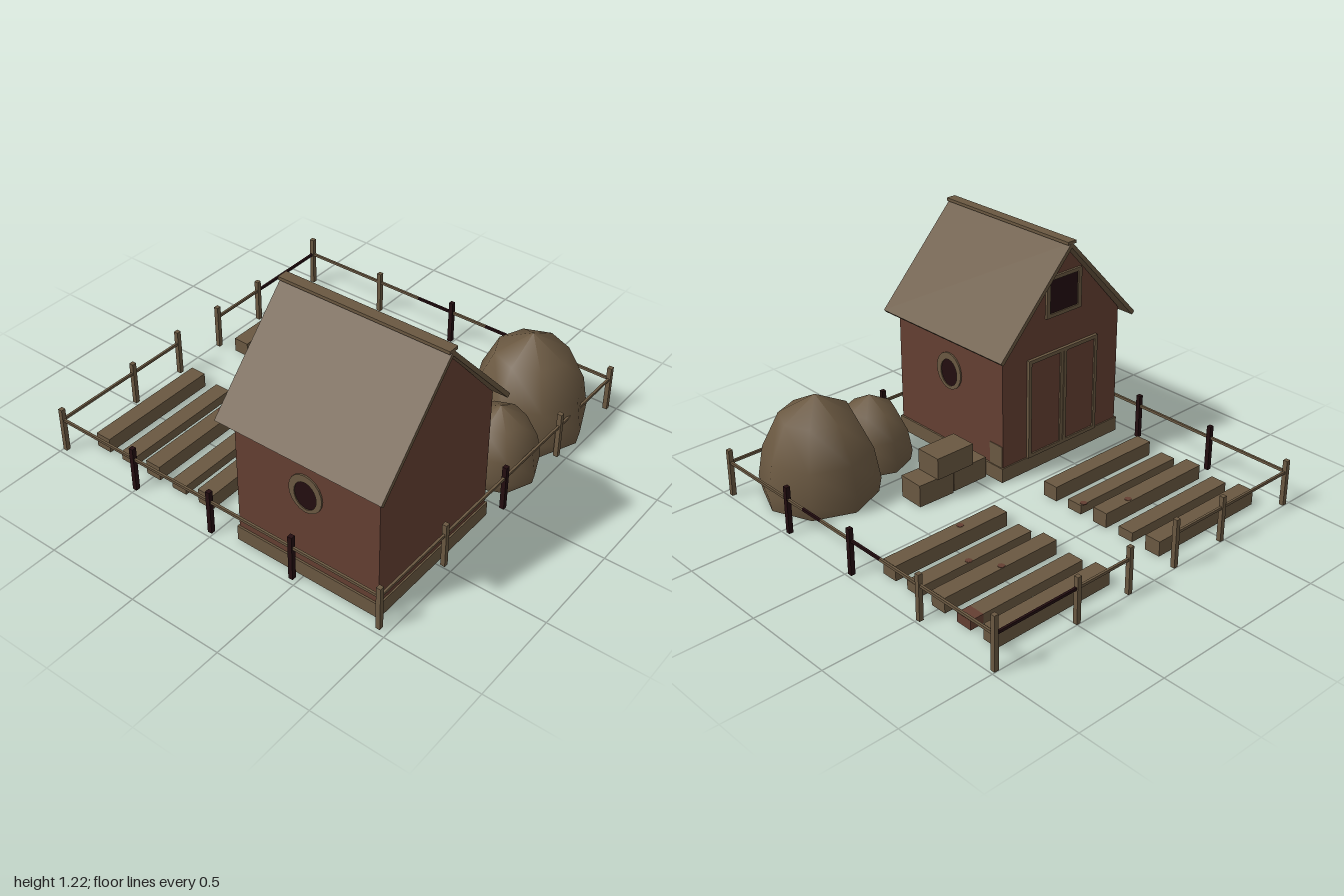
import * as THREE from 'three';

export function createModel() {
  const root = new THREE.Group();
  root.name = 'farmyard';
  const mat = (name, color) => {
    const m = new THREE.MeshStandardMaterial({ color });
    m.name = name;
    return m;
  };
  const wood = mat('weathered wood', 0x6a5841);
  const red = mat('barn red', 0x643f32);
  const dark = mat('dark shadow brown', 0x230d10);

  const add = (parent, name, geometry, material, x = 0, y = 0, z = 0) => {
    const m = new THREE.Mesh(geometry, material);
    m.name = name;
    m.position.set(x, y, z);
    parent.add(m);
    return m;
  };
  // box given by its min and max corners
  const span = (parent, name, material, [x0, y0, z0], [x1, y1, z1]) =>
    add(parent, name, new THREE.BoxGeometry(x1 - x0, y1 - y0, z1 - z0), material,
      (x0 + x1) / 2, (y0 + y1) / 2, (z0 + z1) / 2);
  const group = (name, x = 0, y = 0, z = 0) => {
    const g = new THREE.Group();
    g.name = name;
    g.position.set(x, y, z);
    root.add(g);
    return g;
  };

  // Barn, built around its ridge line
  const barn = group('barn', -0.507, 0, 0);
  span(barn, 'foundation', wood, [-0.42, 0, 0.11], [0.42, 0.08, 0.918]);
  const gable = new THREE.Shape([[-0.41, 0.08], [0.41, 0.08], [0.41, 0.73], [0, 1.185], [-0.41, 0.73]]
    .map(([x, y]) => new THREE.Vector2(x, y)));
  add(barn, 'walls', new THREE.ExtrudeGeometry(gable, { depth: 0.793, bevelEnabled: false }), red, 0, 0, 0.117);

  for (const s of [-1, 1]) {
    // Roof slope
    const p = [[0, 1.21], [0.475, 0.705], [0.459, 0.689], [0, 1.18]].map(([x, y]) => new THREE.Vector2(x * s, y));
    add(barn, 'roofSlope', new THREE.ExtrudeGeometry(new THREE.Shape(p), { depth: 0.9, bevelEnabled: false }),
      wood, 0, 0, 0.06);
    // Round side window
    const ring = new THREE.Shape();
    ring.absellipse(0, 0, 0.092, 0.102, 0, Math.PI * 2);
    const hole = new THREE.Path();
    hole.absellipse(0, -0.01, 0.062, 0.075, 0, Math.PI * 2);
    ring.holes.push(hole);
    const frame = add(barn, 'windowFrame', new THREE.ExtrudeGeometry(ring,
      { depth: 0.008, bevelEnabled: false, curveSegments: 10 }), wood, s * 0.41, 0.49, 0.515);
    frame.rotation.y = s * Math.PI / 2;
    const pane = add(barn, 'windowPane', new THREE.CircleGeometry(0.078, 16), dark, s * 0.413, 0.48, 0.515);
    pane.rotation.y = s * Math.PI / 2;
  }
  span(barn, 'ridgeCap', wood, [-0.028, 1.2, 0.06], [0.028, 1.216, 0.96]);

  // Double door on the yard side
  span(barn, 'doorPanel', red, [-0.23, 0.08, 0.108], [0.23, 0.62, 0.118]);
  for (const x of [-0.235, -0.012, 0.012, 0.235])
    span(barn, 'doorPost', wood, [x - 0.01, 0.08, 0.1], [x + 0.01, 0.63, 0.117]);
  for (const y of [0.09, 0.62])
    span(barn, 'doorRail', wood, [-0.245, y - 0.01, 0.1], [0.245, y + 0.01, 0.117]);

  // Hay loft opening
  span(barn, 'loftOpening', dark, [-0.1, 0.84, 0.111], [0.1, 1.02, 0.118]);
  for (const s of [-1, 1]) {
    span(barn, 'loftFrameSide', wood, [s * 0.11 - 0.012, 0.82, 0.104], [s * 0.11 + 0.012, 1.035, 0.117]);
    span(barn, 'loftFrameRail', wood, [-0.12, 0.93 + s * 0.1 - 0.01, 0.104], [0.12, 0.93 + s * 0.1 + 0.01, 0.117]);
  }
  // Worn patch on the wall beside the bales
  span(barn, 'wallPatch', wood, [0.408, 0.08, 0.12], [0.414, 0.2, 0.21]);

  // Haystacks
  const hayProfile = [[0, 0], [0.295, 0], [0.31, 0.08], [0.28, 0.25], [0.188, 0.44], [0, 0.545]];
  const haystack = (x, z, k) => {
    const pts = hayProfile.slice(1).map(([r, y]) => new THREE.Vector2(r * k, y * k));
    const g = group('haystack', x, 0, z);
    add(g, 'hay', new THREE.LatheGeometry(pts, 8), wood);
    add(g, 'hayBase', new THREE.CircleGeometry(0.295 * k, 8), wood).rotation.x = Math.PI / 2;
  };
  haystack(0.63, 0.683, 1);
  haystack(0.238, 0.763, 0.69);

  // Stacked bales
  const bales = group('bales');
  span(bales, 'bale', wood, [-0.07, 0, 0.215], [0.145, 0.115, 0.35]);
  span(bales, 'bale', wood, [0.155, 0, 0.21], [0.368, 0.12, 0.355]).rotation.y = -0.03;
  span(bales, 'topBale', wood, [0.03, 0.118, 0.2], [0.262, 0.236, 0.348]);

  // Garden beds, alternating tall and low
  const beds = group('gardenBeds');
  for (let i = 0; i < 5; i++) {
    const z = -0.16 - i * 0.17, h = i % 2 ? 0.05 : 0.08;
    for (const x0 of [-0.852, 0.175]) {
      const x1 = x0 + 0.69, worn = i === 3 && x0 > 0;
      span(beds, 'bed', wood, [x0, 0, z - 0.044], [worn ? x1 - 0.075 : x1, h, z + 0.044]);
      if (worn) span(beds, 'bedEnd', red, [x1 - 0.075, 0, z - 0.044], [x1, h, z + 0.044]);
    }
  }
  // Reddish soil spots on the beds
  for (const [x, y, z] of [[-0.34, 0.08, -0.52], [-0.19, 0.05, -0.365], [0.51, 0.08, -0.526], [0.56, 0.05, -0.36], [0.42, 0.08, -0.142]])
    add(beds, 'soilSpot', new THREE.CylinderGeometry(0.018, 0.018, 0.004, 8), red, x, y, z);

  // Fence
  const fence = group('fence');
  const L = -0.965, R = 0.975, B = -0.987, F = 0.95;
  const post = (x, z, h, m = wood) => span(fence, 'fencePost', m, [x - 0.012, 0, z - 0.012], [x + 0.012, h, z + 0.012]);
  const railX = (x0, x1, z, m = wood) => span(fence, 'fenceRail', m, [x0, 0.178, z - 0.006], [x1, 0.192, z + 0.006]);
  const railZ = (z0, z1, x, m = wood) => span(fence, 'fenceRail', m, [x - 0.006, 0.178, z0], [x + 0.006, 0.192, z1]);
  [[L, F, 0.24], [-0.48, F, 0.245], [0.005, F, 0.25, dark], [0.49, F, 0.26], [R, F, 0.255],
    [L, B, 0.25], [-0.48, B, 0.245], [-0.15, B, 0.26], [0.16, B, 0.25], [0.49, B, 0.245], [R, B, 0.283],
    [R, 0.465, 0.255, dark], [R, -0.02, 0.248, dark], [R, -0.505, 0.243],
    [L, 0.465, 0.25, dark], [L, -0.02, 0.245, dark], [L, -0.505, 0.25, dark]].forEach(p => post(...p));
  railX(L, R, F);
  railX(L, -0.15, B);
  railX(0.16, 0.49, B);
  railX(0.49, R, B, dark);
  railZ(B, F, L);
  railZ(B, -0.24, R);
  railZ(-0.24, -0.02, R, dark);
  railZ(-0.02, 0.2, R);
  railZ(0.2, 0.34, R, dark);
  railZ(0.34, F, R);
  return root;
}
